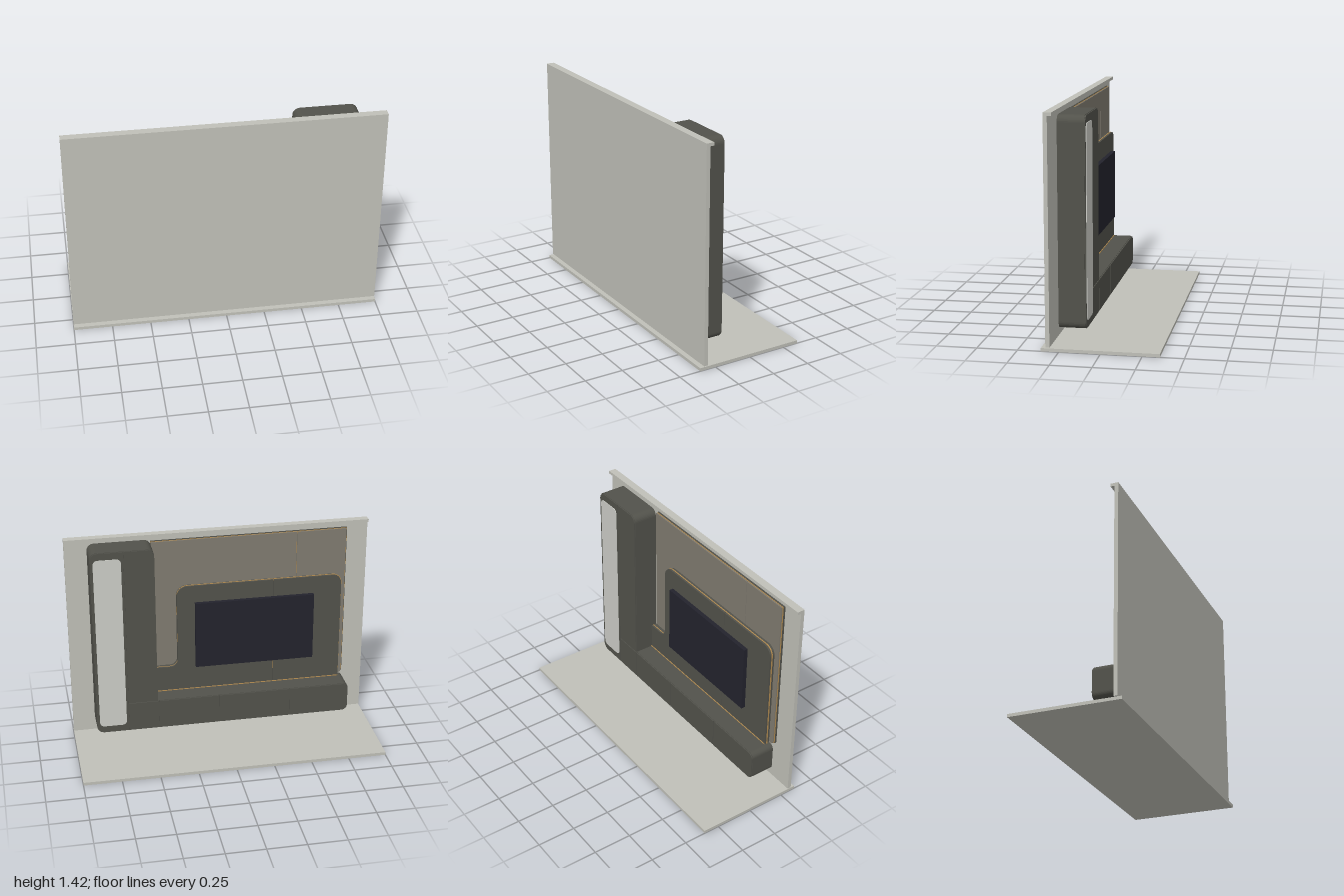
import * as THREE from 'three';

const mat = (name, color) => {
  const m = new THREE.MeshStandardMaterial({ color });
  m.name = name;
  return m;
};

// Closed outline from [x, y, cornerRadius] points, each corner rounded by its radius
function outline(points) {
  const shape = new THREE.Shape();
  const n = points.length;
  points.forEach(([x, y, r = 0], i) => {
    const p = new THREE.Vector2(x, y);
    const toward = (q) => new THREE.Vector2(q[0], q[1]).sub(p).normalize().multiplyScalar(r).add(p);
    const a = toward(points[(i + n - 1) % n]);
    const b = toward(points[(i + 1) % n]);
    if (i === 0) shape.moveTo(a.x, a.y);
    else shape.lineTo(a.x, a.y);
    if (r > 0) {
      // cubic approximation of a circular corner
      const c1 = a.clone().lerp(p, 0.552);
      const c2 = b.clone().lerp(p, 0.552);
      shape.bezierCurveTo(c1.x, c1.y, c2.x, c2.y, b.x, b.y);
    }
  });
  shape.closePath();
  return shape;
}

// Rectangle with radii in the order bottom-left, bottom-right, top-right, top-left
const rect = (x0, x1, y0, y1, [a, b, c, d] = [0, 0, 0, 0]) =>
  [[x0, y0, a], [x1, y0, b], [x1, y1, c], [x0, y1, d]];

export function createModel() {
  const model = new THREE.Group();
  model.name = 'mediaWall';

  const plaster = mat('pale plaster', 0xc0c0b8);
  const dark = mat('dark cabinet', 0x52524b);
  const taupe = mat('taupe panel', 0x807b70);
  const glass = mat('pale glass', 0xcccdc7);
  const gold = mat('gold trim', 0xb08a50);
  const screen = mat('screen black', 0x23232d);

  const slab = (name, points, z0, z1, material) => {
    const geo = new THREE.ExtrudeGeometry(outline(points), {
      depth: z1 - z0, bevelEnabled: false, curveSegments: 8,
    });
    const mesh = new THREE.Mesh(geo, material);
    mesh.position.z = z0;
    mesh.name = name;
    model.add(mesh);
  };
  const box = (name, x0, x1, y0, y1, z0, z1, material) => {
    const mesh = new THREE.Mesh(new THREE.BoxGeometry(x1 - x0, y1 - y0, z1 - z0), material);
    mesh.position.set((x0 + x1) / 2, (y0 + y1) / 2, (z0 + z1) / 2);
    mesh.name = name;
    model.add(mesh);
  };

  // Room shell
  box('floor', -1, 1, 0, 0.02, -0.355, 0.358, plaster);
  box('wall', -1, 1, 0.025, 1.425, 0.305, 0.33, plaster);
  box('ceilingLip', -1, 1, 1.405, 1.425, 0.28, 0.305, plaster);

  // L-shaped cabinet: tall column and low bench
  slab('cabinetBody', [
    [-0.86, 0.1, 0.035], [0.856, 0.1, 0.045], [0.856, 1.393, 0.045],
    [0.445, 1.393, 0.045], [0.445, 0.305], [-0.86, 0.305, 0.035],
  ], 0.118, 0.28, dark);

  // Door and drawer fronts with narrow seams between them
  const g = 0.003;
  const fronts = [
    ['glassDoorFrame', 0.644, 0.856, 0.1, 1.393, [0, 0.045, 0.045, 0]],
    ['columnDoor', 0.445, 0.644, 0.305, 1.393, [0, 0, 0, 0.045]],
    ['drawerFront1', 0.44, 0.644, 0.1, 0.305, [0, 0, 0, 0]],
    ['drawerFront2', 0.034, 0.44, 0.1, 0.305, [0, 0, 0, 0]],
    ['drawerFront3', -0.453, 0.034, 0.1, 0.305, [0, 0, 0, 0]],
    ['drawerFront4', -0.86, -0.453, 0.1, 0.305, [0.035, 0, 0, 0.035]],
  ];
  for (const [name, x0, x1, y0, y1, r] of fronts) {
    slab(name, rect(x0 + g, x1 - g, y0 + g, y1 - g, r), 0.111, 0.118, dark);
  }
  slab('glassInlay', rect(0.658, 0.837, 0.15, 1.345, [0.03, 0.03, 0.03, 0.03]), 0.107, 0.112, glass);

  // Tall back panel: dark backing, gold edge and two taupe boards
  slab('panelBacking', rect(-0.86, 0.445, 0.305, 1.375, [0.02, 0, 0, 0]), 0.295, 0.305, dark);
  slab('panelTrim', rect(-0.856, 0.445, 0.305, 1.372, [0.02, 0, 0, 0]), 0.29, 0.295, gold);
  slab('taupeBoardWide', rect(-0.518, 0.445, 0.305, 1.37), 0.282, 0.29, taupe);
  slab('taupeBoardNarrow', rect(-0.852, -0.522, 0.305, 1.37, [0.02, 0, 0, 0]), 0.282, 0.29, taupe);

  // Raised screen panel with a low ledge running to the column
  const raised = (x0, x1, top) => [
    [x0, 0.305], [x1, 0.305], [x1, 0.48], [0.287, 0.48, 0.05], [0.287, top, 0.07], [x0, top, 0.06],
  ];
  slab('screenPanelBacking', raised(-0.815, 0.445, 1.055), 0.262, 0.282, dark);
  slab('screenPanelTrim', raised(-0.824, 0.445, 1.062), 0.255, 0.262, gold);
  slab('screenPanelWide', [
    [-0.358, 0.305], [0.445, 0.305], [0.445, 0.48], [0.287, 0.48, 0.05], [0.287, 1.06, 0.07], [-0.358, 1.06],
  ], 0.243, 0.255, dark);
  slab('screenPanelNarrow', rect(-0.82, -0.362, 0.305, 1.06, [0, 0, 0, 0.06]), 0.243, 0.255, dark);
  box('benchTrim', -0.82, 0.445, 0.305, 0.309, 0.238, 0.243, gold);

  // Screen on its bracket
  box('screen', -0.625, 0.172, 0.487, 0.95, 0.198, 0.226, screen);
  box('screenBracket', -0.4, -0.05, 0.62, 0.82, 0.226, 0.243, screen);

  return model;
}
